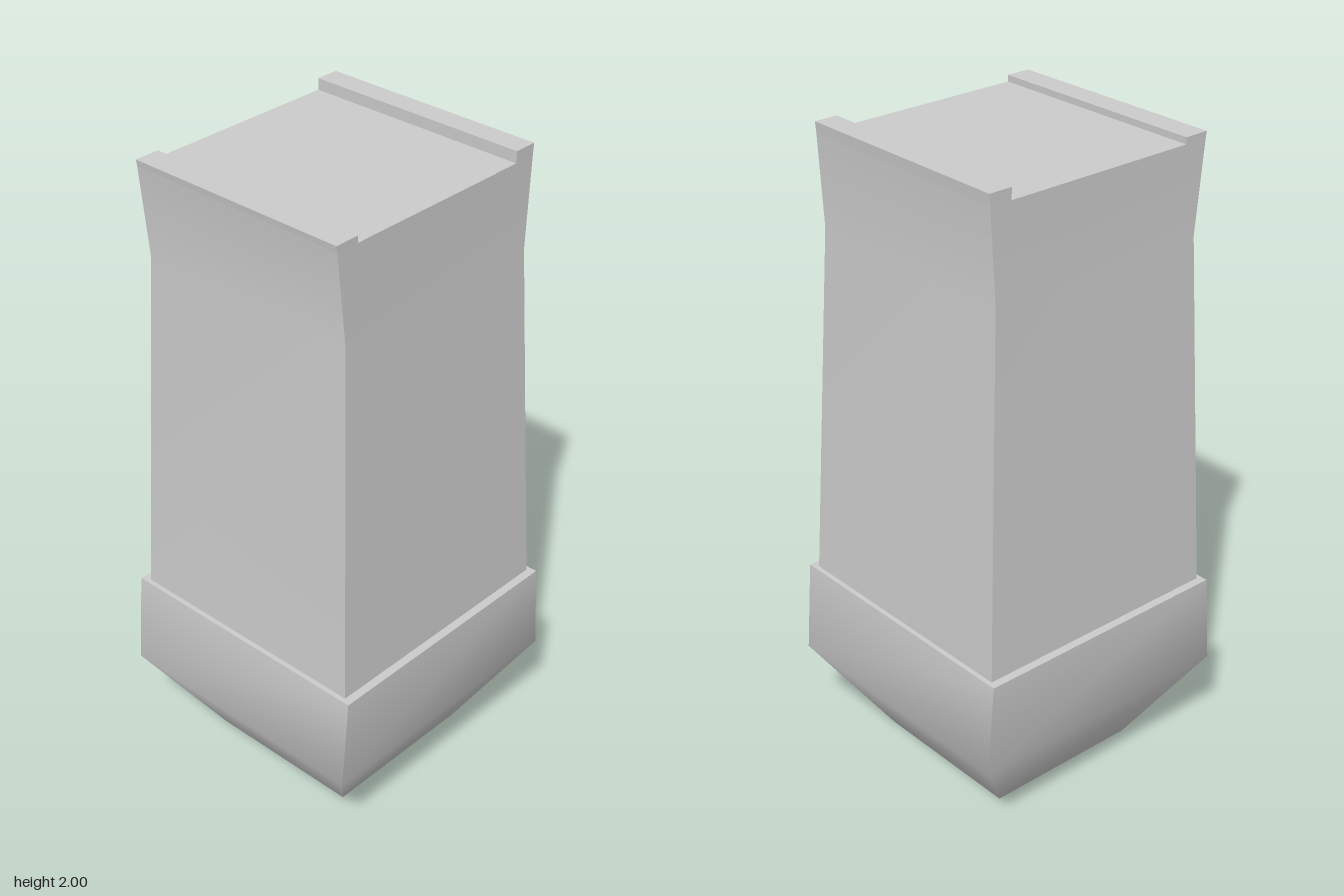
import * as THREE from 'three';

const stone = new THREE.MeshStandardMaterial({ color: 0xcccccc, side: THREE.DoubleSide });
stone.name = 'light grey';

// Four-sided loft through rings [halfWidth, y, frontZ, backZ]:
// smooth along each wall, sharp at the four corners.
function loft(rings) {
  const positions = [], indices = [];
  const corners = rings.map(([x, y, f, b]) => [[-x, y, f], [x, y, f], [x, y, b], [-x, y, b]]);
  for (let s = 0; s < 4; s++) {
    const start = positions.length / 3;
    corners.forEach(c => positions.push(...c[s], ...c[(s + 1) % 4]));
    for (let r = 0; r < rings.length - 1; r++) {
      const a = start + r * 2;
      indices.push(a, a + 1, a + 3, a, a + 3, a + 2);
    }
  }
  const g = new THREE.BufferGeometry();
  g.setAttribute('position', new THREE.Float32BufferAttribute(positions, 3));
  g.setIndex(indices);
  g.computeVertexNormals();
  return g;
}

// Bar across the width with a [z, y] cross-section
function rail(points, halfWidth) {
  const shape = new THREE.Shape(points.map(([z, y]) => new THREE.Vector2(-z, y)));
  const g = new THREE.ExtrudeGeometry(shape, { depth: halfWidth * 2, bevelEnabled: false });
  return g.translate(0, 0, -halfWidth).rotateY(Math.PI / 2);
}

export function createModel() {
  const group = new THREE.Group();
  const add = (name, geometry) => {
    const mesh = new THREE.Mesh(geometry, stone);
    mesh.name = name;
    group.add(mesh);
    return mesh;
  };

  const foot = [0.257, 0, 0.26, -0.255];
  const collarTop = [0.43, 0.58, 0.425, -0.425];
  const trunkLow = [0.412, 0.37, 0.417, -0.415];
  const trunkFoot = [0.404, 0.58, 0.41, -0.41];

  // Flared collar, its narrow ledge and the hollow funnel inside
  add('collar', loft([foot, [0.43, 0.29, 0.45, -0.448], collarTop]));
  add('collarLedge', loft([collarTop, trunkFoot]));
  add('collarFunnel', loft([trunkLow, foot]));

  // Hollow tapering trunk, waisted near the top
  add('trunk', loft([
    trunkLow,
    trunkFoot,
    [0.362, 1.69, 0.366, -0.355],
    [0.361, 1.965, 0.395, -0.37],
  ]));

  // Flat cap between the two rails
  const cap = add('topCap', new THREE.PlaneGeometry(0.722, 0.765).rotateX(-Math.PI / 2));
  cap.position.set(0, 1.965, 0.0125);

  // Low front rail and taller back rail
  add('frontRail', rail([[0.395, 1.965], [0.32, 1.965], [0.32, 1.985], [0.398, 1.985]], 0.361));
  add('backRail', rail([[-0.30, 1.965], [-0.37, 1.965], [-0.373, 2], [-0.30, 2]], 0.361));

  return group;
}
